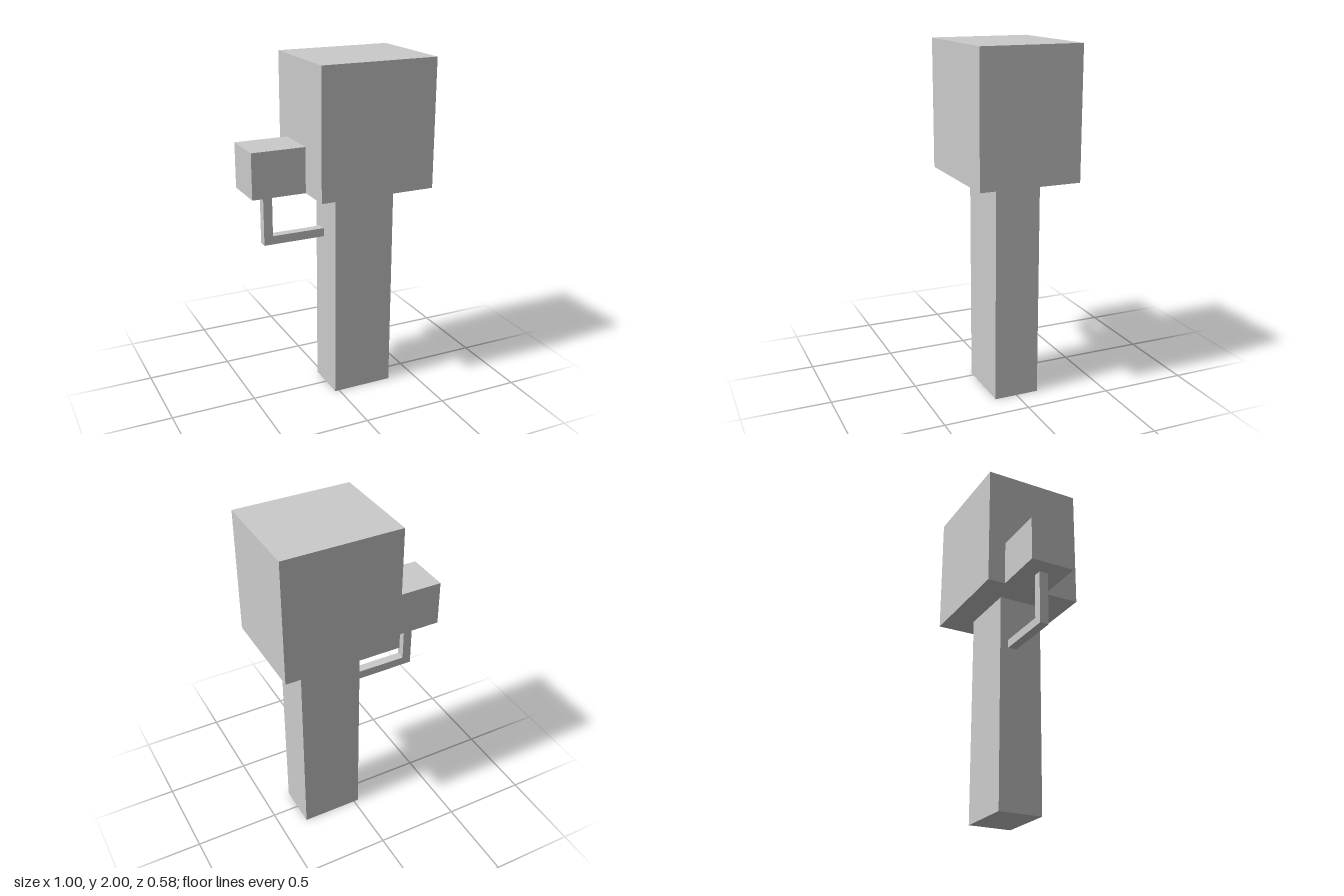
import * as THREE from 'three';

const material = new THREE.MeshStandardMaterial({ color: 0xcccccc, flatShading: true });

// Box given by its lower and upper corners
function block(name, [x0, y0, z0], [x1, y1, z1]) {
  const mesh = new THREE.Mesh(new THREE.BoxGeometry(x1 - x0, y1 - y0, z1 - z0), material);
  mesh.position.set((x0 + x1) / 2, (y0 + y1) / 2, (z0 + z1) / 2);
  mesh.name = name;
  return mesh;
}

export function createModel() {
  const tree = new THREE.Group();
  tree.name = 'tree';

  tree.add(block('trunk', [-0.027, 0, -0.131], [0.339, 1.265, 0.131]));
  tree.add(block('crown', [-0.185, 1.265, -0.29], [0.5, 2, 0.29]));
  tree.add(block('sideFoliage', [-0.5, 1.265, -0.185], [-0.185, 1.528, 0.078]));

  // L-shaped branch from the trunk up to the side foliage
  const outline = new THREE.Shape([
    [-0.027, 0.95], [-0.027, 1.0], [-0.345, 1.0],
    [-0.345, 1.265], [-0.398, 1.265], [-0.398, 0.95],
  ].map(([x, y]) => new THREE.Vector2(x, y)));
  const depth = 0.053;
  const branch = new THREE.Mesh(
    new THREE.ExtrudeGeometry(outline, { depth, bevelEnabled: false }), material);
  branch.position.z = -0.054 - depth / 2;
  branch.name = 'branch';
  tree.add(branch);

  return tree;
}
